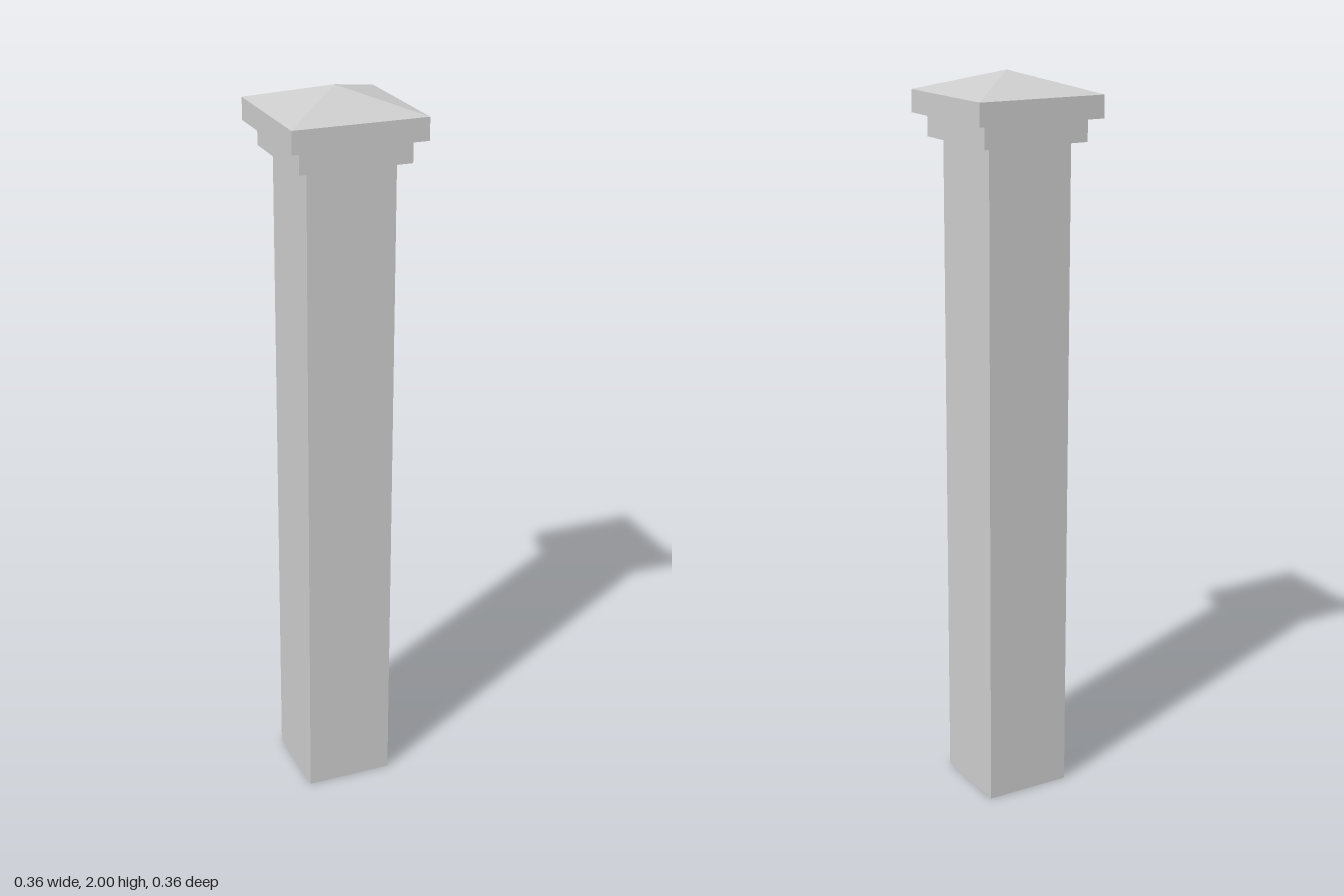
import * as THREE from 'three';

export function createModel() {
  const group = new THREE.Group();
  const stone = new THREE.MeshStandardMaterial({ color: 0xcccccc });
  stone.name = 'pale grey stone';

  function add(name, geometry, y) {
    const mesh = new THREE.Mesh(geometry, stone);
    mesh.name = name;
    mesh.position.y = y;
    group.add(mesh);
  }

  // Square blocks stacked from the ground up: name, width, bottom, top
  const blocks = [
    ['shaft', 0.242, 0, 1.823],
    ['collar', 0.303, 1.823, 1.884],
    ['capSlab', 0.363, 1.884, 1.944],
  ];
  for (const [name, width, bottom, top] of blocks) {
    add(name, new THREE.BoxGeometry(width, top - bottom, width), (bottom + top) / 2);
  }

  // Four-sided pyramid, turned so its edges line up with the slab
  const roof = new THREE.ConeGeometry(0.363 / Math.SQRT2, 0.056, 4, 1, true)
    .rotateY(Math.PI / 4)
    .toNonIndexed();
  roof.computeVertexNormals();
  add('capPyramid', roof, 1.972);

  return group;
}
